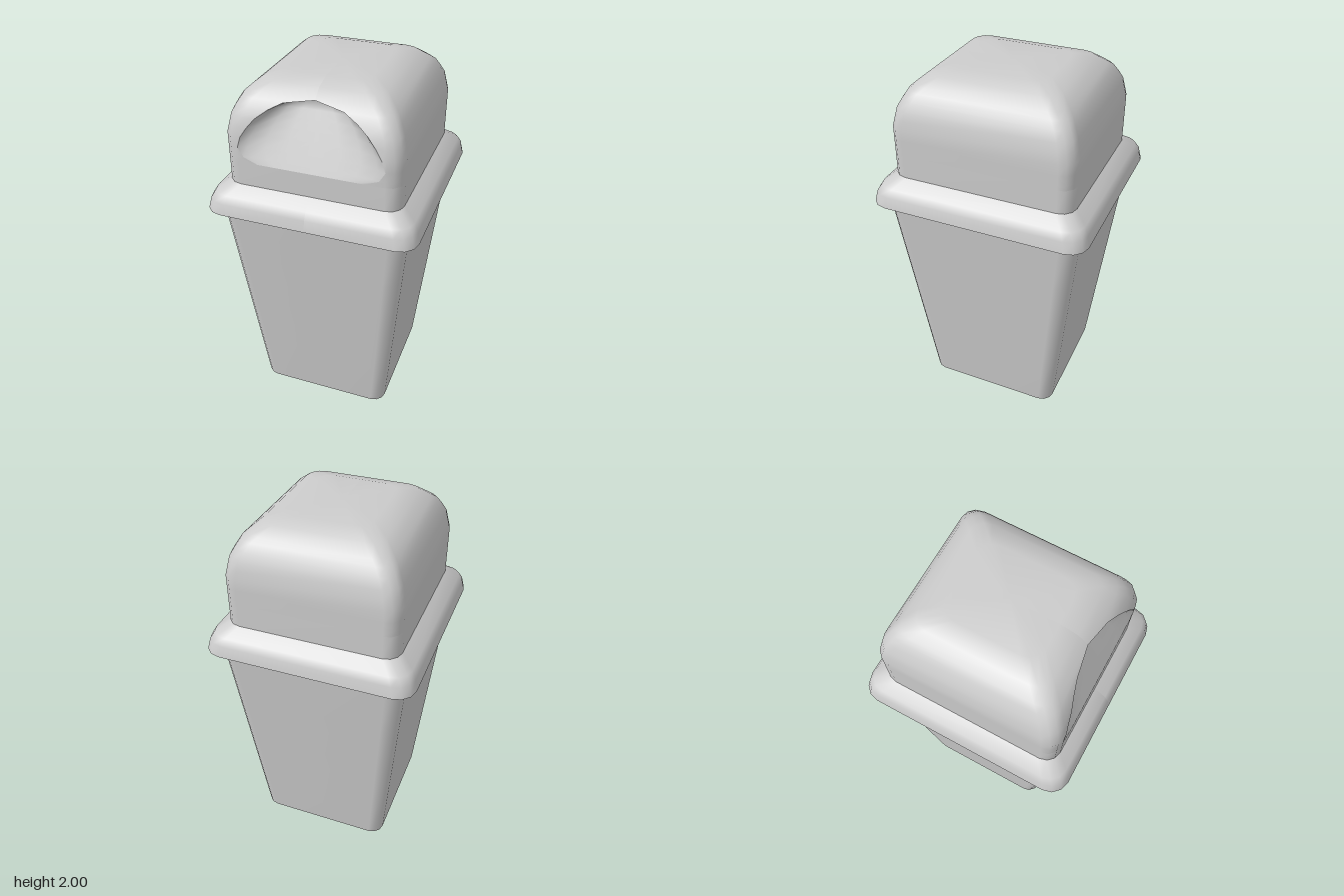
import * as THREE from 'three';

const CORNER_STEPS = 3;
const material = new THREE.MeshStandardMaterial({ color: 0xcccccc, side: THREE.DoubleSide });

// Rounded rectangle running from x = gap on the front, around the back, to x = -gap
function ring(w, d, r, y, gap = 0) {
  const pts = [[gap, y, d]];
  const corners = [[1, 1], [1, -1], [-1, -1], [-1, 1]];
  corners.forEach(([sx, sz], c) => {
    for (let k = 0; k <= CORNER_STEPS; k++) {
      const a = Math.PI / 2 * (1 - c - k / CORNER_STEPS);
      pts.push([sx * (w - r) + r * Math.cos(a), y, sz * (d - r) + r * Math.sin(a)]);
    }
  });
  pts.push([-gap, y, d]);
  return pts;
}

// Smooth skin through rows of points, listed from the bottom up
function loft(name, rows) {
  const n = rows[0].length, index = [];
  for (let i = 0; i < rows.length - 1; i++) {
    for (let j = 0; j < n - 1; j++) {
      const a = i * n + j, b = a + 1, c = b + n, d = a + n;
      index.push(a, b, c, a, c, d);
    }
  }
  const geometry = new THREE.BufferGeometry();
  geometry.setAttribute('position', new THREE.Float32BufferAttribute(rows.flat(2), 3));
  geometry.setIndex(index);
  geometry.computeVertexNormals();
  const mesh = new THREE.Mesh(geometry, material);
  mesh.name = name;
  return mesh;
}

// Linear lookup in a list of [key, value] pairs
function lookup(table, key) {
  for (let i = 1; i < table.length; i++) {
    const [k0, v0] = table[i - 1], [k1, v1] = table[i];
    if (key <= k1) return v0 + (v1 - v0) * Math.max(0, (key - k0) / (k1 - k0));
  }
  return table[table.length - 1][1];
}

export function createModel() {
  const model = new THREE.Group();
  model.name = 'wasteBin';

  // Tapered bin body with a flat base
  const body = [];
  for (let i = 0; i <= 4; i++) {
    const t = i / 4;
    body.push(ring(0.38 + 0.125 * t, 0.39 + 0.15 * t, 0.07 + 0.015 * t, 1.3 * t));
  }
  model.add(loft('binBody', body));
  model.add(loft('binBase', [ring(0, 0, 0, 0), ring(0.38, 0.39, 0.07, 0)]));

  // Overhanging collar of the lid: height and inset
  const collar = [[1.3, 0], [1.36, 0.013], [1.4, 0.035], [1.45, 0.105]];
  model.add(loft('lidCollar', collar.map(([y, s]) => ring(0.57 - s, 0.6 - s, 0.1 - 0.2 * s, y))));
  model.add(loft('collarUnderside', [ring(0.5, 0.535, 0.085, 1.3), ring(0.57, 0.6, 0.1, 1.3)]));

  // Domed lid: inset by height, and half width of the arched opening by height
  const dome = [[1.45, 0], [1.72, 0], [1.83, 0.023], [1.91, 0.07], [1.975, 0.15], [2, 0.245]];
  const arch = [[1.58, 0.28], [1.61, 0.355], [1.66, 0.385], [1.72, 0.365], [1.77, 0.332],
    [1.82, 0.29], [1.865, 0.23], [1.905, 0.155], [1.93, 0]];
  const domeRing = (y, gap) => {
    const s = lookup(dome, y);
    return ring(0.465 - s, 0.5 - s, 0.08, y, gap);
  };
  model.add(loft('lidDome', [
    domeRing(1.45, 0), domeRing(1.58, 0),
    ...arch.map(([y, half]) => domeRing(y, half)),
    domeRing(1.975, 0), domeRing(2, 0), ring(0, 0, 0, 2),
  ]));

  // Slanting flap set back under the arch
  const steps = [-1, -0.88, -0.65, -0.35, 0, 0.35, 0.65, 0.88, 1];
  model.add(loft('flapRecess', arch.map(([y, half]) => {
    const front = 0.5 - lookup(dome, y);
    const depth = half ? Math.max(0, front - (0.5 - 0.45 * (y - 1.58))) : 0;
    return steps.map((t) => [t * half, y, front - depth * (1 - t ** 6)]);
  })));

  return model;
}
